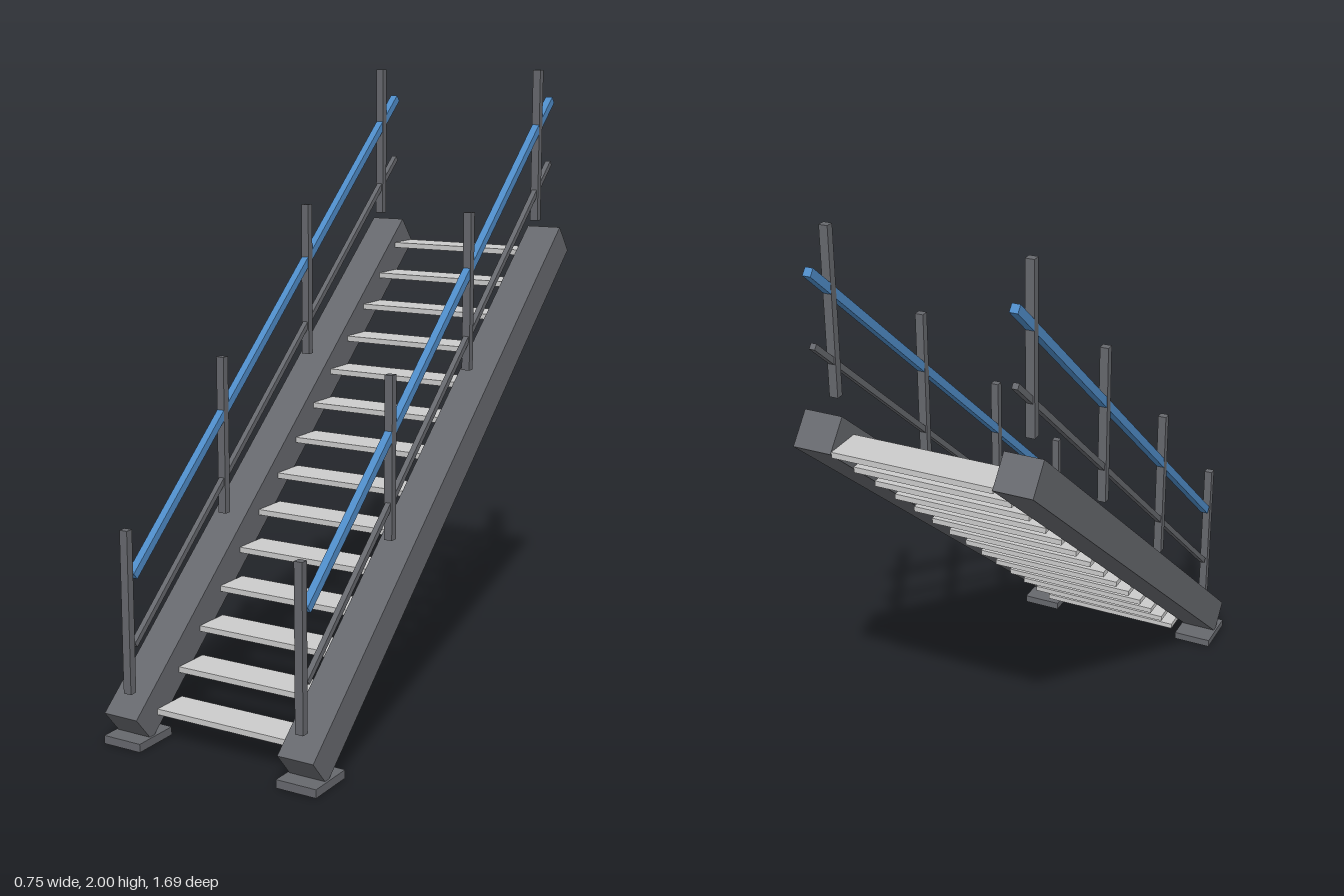
import * as THREE from 'three';

const steel = new THREE.MeshStandardMaterial({ color: 0x66686d });
const treadGrey = new THREE.MeshStandardMaterial({ color: 0xcccccc });
const blue = new THREE.MeshStandardMaterial({ color: 0x4f8cc8 });

// Box of size [x, y, z] centred at [x, y, z], pitched up towards the back
function addBox(parent, name, size, position, material, pitch = 0) {
  const mesh = new THREE.Mesh(new THREE.BoxGeometry(...size), material);
  mesh.name = name;
  mesh.position.set(...position);
  mesh.rotation.x = pitch;
  parent.add(mesh);
}

export function createModel() {
  const model = new THREE.Group();
  model.name = 'staircase';

  // Open treads climbing towards the back
  const treads = new THREE.Group();
  treads.name = 'treads';
  for (let i = 0; i < 14; i++) {
    addBox(treads, 'tread', [0.5, 0.018, 0.123],
      [0, 0.093 + i * 0.0987, 0.679 - i * 0.112], treadGrey);
  }
  model.add(treads);

  for (const side of [1, -1]) {
    const group = new THREE.Group();
    group.name = side > 0 ? 'leftSide' : 'rightSide';

    // Sloping stringer and its foot plate
    addBox(group, 'stringer', [0.12, 0.112, 2.115], [side * 0.31, 0.74, 0], steel,
      THREE.MathUtils.degToRad(40.2));
    addBox(group, 'footPlate', [0.134, 0.026, 0.158], [side * 0.31, 0.013, 0.761], steel);

    // Upright posts
    for (let i = 0; i < 4; i++) {
      addBox(group, 'post', [0.027, 0.508, 0.025],
        [side * 0.305, 0.417 + i * 0.443, 0.802 - i * 0.504], steel);
    }

    // Handrail and thinner middle rail
    const railPitch = THREE.MathUtils.degToRad(40.9);
    addBox(group, 'handrail', [0.025, 0.026, 2.1], [side * 0.305, 1.21, -0.017], blue, railPitch);
    addBox(group, 'middleRail', [0.018, 0.018, 2.1], [side * 0.305, 0.995, -0.017], steel, railPitch);
    model.add(group);
  }
  return model;
}
